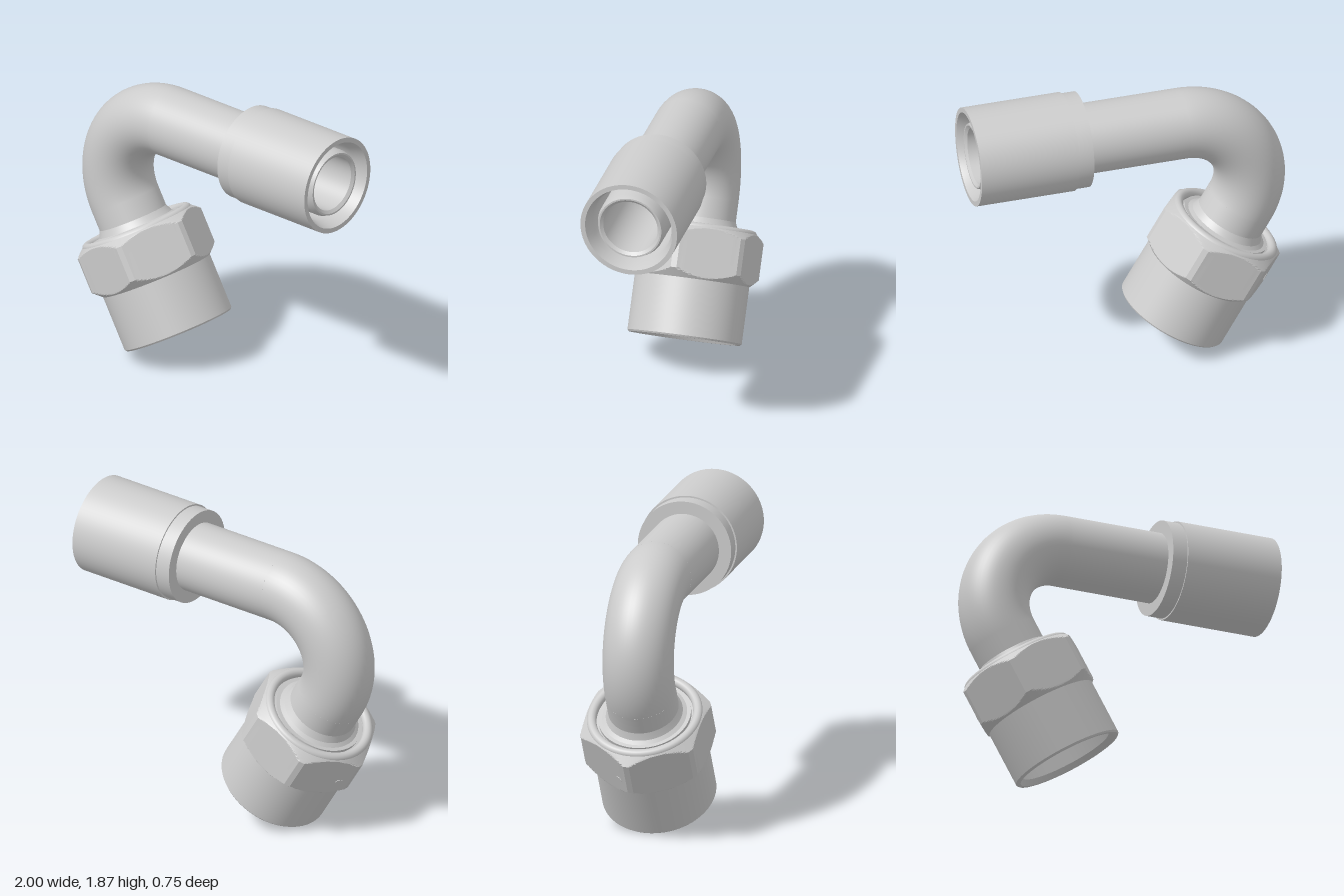
import * as THREE from 'three';
import { toCreasedNormals } from 'three/addons/utils/BufferGeometryUtils.js';

const material = new THREE.MeshStandardMaterial({ color: 0xcccccc });
const innerMaterial = new THREE.MeshStandardMaterial({ color: 0xcccccc, side: THREE.DoubleSide });

const TUBE = 0.218, BORE = 0.172;      // tube outer and inner radius
const BEND = 0.43;                     // bend radius of the tube axis
const CENTRE = [-0.35, 1.153];         // centre of the bend
const TILT = Math.PI / 6;              // lean of the nut axis
const LEG = 0.867;                     // nut end to start of bend

function add(parent, name, geometry, mat = material) {
  const mesh = new THREE.Mesh(geometry, mat);
  mesh.name = name;
  parent.add(mesh);
  return mesh;
}

// Closed turned part: [radius, height] pairs, counter-clockwise
function turned(profile) {
  const pts = [...profile, profile[0]].map(([r, y]) => new THREE.Vector2(r, y));
  return toCreasedNormals(new THREE.LatheGeometry(pts, 80), 0.45);
}

// Hexagon with rounded corners, cut by a cone at each end
function hexGeometry() {
  const apothem = 0.364, corner = 0.41, turn = THREE.MathUtils.degToRad(4);
  const half = Math.acos(apothem / corner), cols = 16;
  const angles = [];
  for (let f = 0; f < 6; f++) {
    for (let i = 0; i <= cols; i++) {
      const local = half * (2 * i / cols - 1);
      angles.push([turn + (f + 0.5) * Math.PI / 3 + local, apothem / Math.cos(local)]);
    }
  }
  const heights = [];
  for (let i = 0; i <= 10; i++) heights.push(0.36 + 0.0053 * i);
  for (let i = 0; i <= 10; i++) heights.push(0.638 + 0.0046 * i);
  const pos = [], index = [], n = angles.length;
  heights.forEach((h) => {
    const cone = Math.min(0.352 + (h - 0.36) * 1.1, corner - (h - 0.638) * 1.2);
    angles.forEach(([a, flat]) => {
      const r = Math.min(flat, cone);
      pos.push(r * Math.cos(a), h, r * Math.sin(a));
    });
  });
  for (let j = 0; j < heights.length - 1; j++) {
    for (let i = 0; i < n; i++) {
      const a = j * n + i, b = j * n + (i + 1) % n;
      index.push(a, a + n, b, b, a + n, b + n);
    }
  }
  const g = new THREE.BufferGeometry();
  g.setAttribute('position', new THREE.Float32BufferAttribute(pos, 3));
  g.setIndex(index);
  return toCreasedNormals(g, 0.3);
}

export function createModel() {
  const model = new THREE.Group();
  model.name = 'elbowFitting';

  // Bent part of the hollow tube
  for (const [name, r, mat] of [['tubeBend', TUBE, material], ['tubeBendBore', BORE, innerMaterial]]) {
    const bend = add(model, name, new THREE.TorusGeometry(BEND, r, 48, 64, Math.PI * 2 / 3), mat);
    bend.position.set(CENTRE[0], CENTRE[1], 0);
    bend.rotation.z = Math.PI / 2;
  }

  // Straight arm along +x; local y is measured from the bend
  const arm = new THREE.Group();
  arm.name = 'hoseArm';
  arm.position.set(CENTRE[0], CENTRE[1] + BEND, 0);
  arm.rotation.z = -Math.PI / 2;
  model.add(arm);
  add(arm, 'straightTube', turned([[BORE, 0], [TUBE, 0], [TUBE, 0.8], [BORE, 0.8]]));
  add(arm, 'hoseNipple', turned([
    [BORE, 0.78], [0.212, 0.78], [0.212, 1.29], [0.2, 1.325], [0.19, 1.325], [BORE, 1.31],
  ]));
  add(arm, 'sleeveCollar', turned([[0.2, 0.635], [0.296, 0.635], [0.296, 0.74], [0.2, 0.74]]));
  add(arm, 'crimpSleeve', turned([
    [0.2, 0.73], [0.306, 0.73], [0.306, 1.35], [0.276, 1.35], [0.25, 1.27], [0.25, 0.8], [0.2, 0.8],
  ]));

  // Nut end; local y runs up the axis from the open face
  const nut = new THREE.Group();
  nut.name = 'nutEnd';
  const end = BEND + 0;
  nut.position.set(
    CENTRE[0] - end * Math.cos(TILT) + LEG * Math.sin(TILT),
    CENTRE[1] - end * Math.sin(TILT) - LEG * Math.cos(TILT), 0);
  nut.rotation.z = TILT;
  model.add(nut);
  add(nut, 'lowerTube', turned([[BORE, 0.46], [TUBE, 0.46], [TUBE, LEG], [BORE, LEG]]));
  add(nut, 'nutBarrel', turned([
    [0.295, 0.03], [0.325, 0], [0.344, 0], [0.352, 0.01], [0.352, 0.678], [0.3, 0.678],
    [0.3, 0.66], [0.286, 0.66], [0.286, 0.685], [0.262, 0.685], [0.238, 0.7], [0.228, 0.72],
    [0.217, 0.745], [0.2, 0.745], [0.2, 0.48], [0.25, 0.48], [0.255, 0.44], [0.295, 0.44],
  ]));
  add(nut, 'hexNut', hexGeometry());
  const bead = add(nut, 'retainingBead', new THREE.TorusGeometry(0.328, 0.03, 16, 80));
  bead.rotation.x = Math.PI / 2;
  bead.position.y = 0.675;

  // Small pin set into one flat, near its edge
  const facing = THREE.MathUtils.degToRad(214), slide = -0.125;
  const pin = add(nut, 'lockPin', new THREE.CylinderGeometry(0.026, 0.026, 0.02, 24));
  const normal = new THREE.Vector3(Math.cos(facing), 0, Math.sin(facing));
  pin.quaternion.setFromUnitVectors(new THREE.Vector3(0, 1, 0), normal);
  pin.position.copy(normal).multiplyScalar(0.357);
  pin.position.x += -Math.sin(facing) * slide;
  pin.position.z += Math.cos(facing) * slide;
  pin.position.y = 0.48;

  return model;
}
